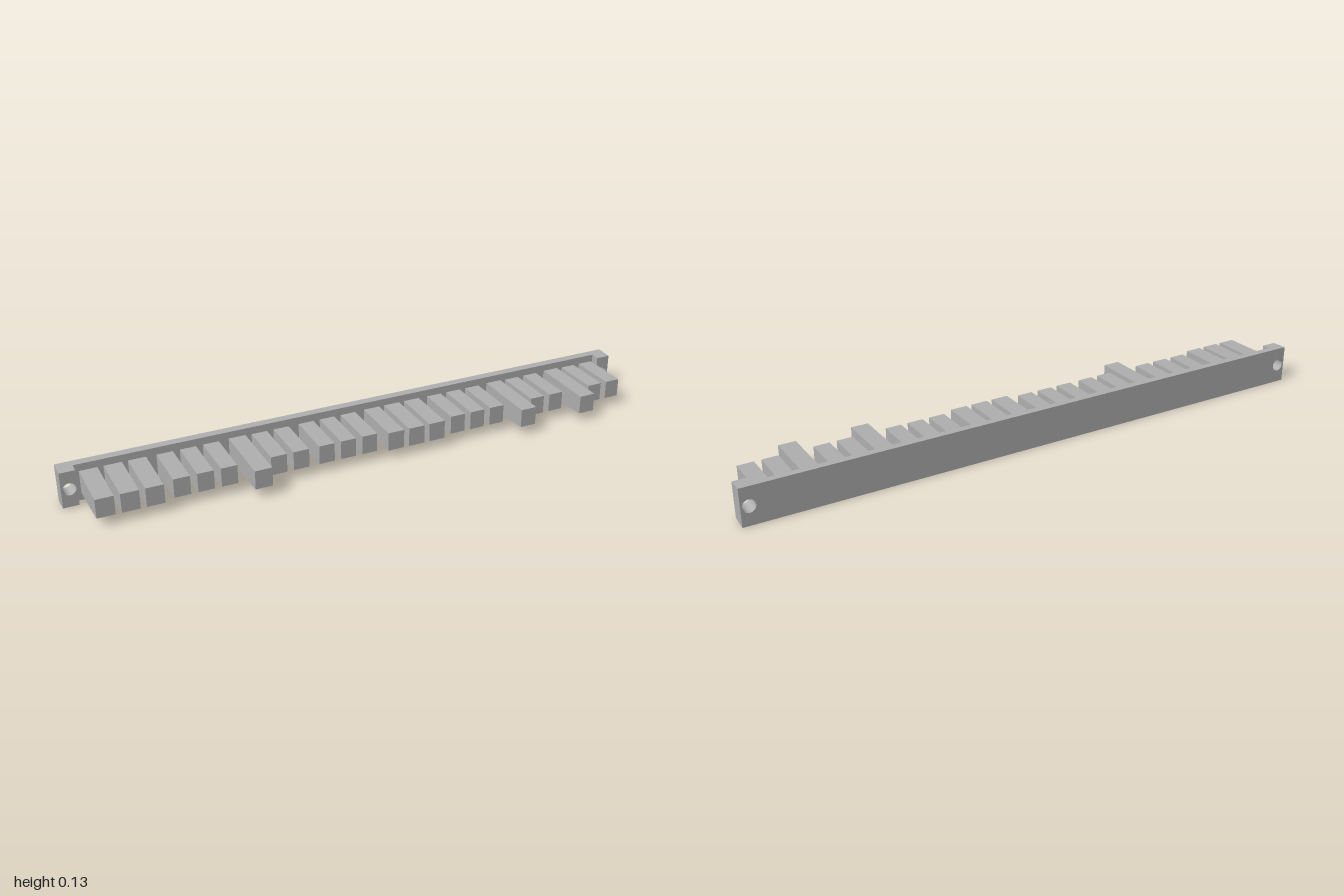
import * as THREE from 'three';

const MID_Y = 0.0635;
const BACK = -0.127, PLATE_FRONT = -0.1, FLANGE_FRONT = -0.07;
const HOLE_X = 0.974, HOLE_R = 0.021;

// Half height shrinks linearly from the back towards the front.
function draft(geometry, atBack, atFront, zBack, zFront) {
  const p = geometry.attributes.position;
  for (let i = 0; i < p.count; i++) {
    const t = (p.getZ(i) - zBack) / (zFront - zBack);
    p.setY(i, MID_Y + p.getY(i) * (atBack + (atFront - atBack) * t));
  }
  geometry.computeVertexNormals();
  return geometry;
}

// Slab from x0 to x1 with round screw holes; y runs from -1 to 1 before drafting.
function slab(x0, x1, z0, z1, holes) {
  const shape = new THREE.Shape([[x0, -1], [x1, -1], [x1, 1], [x0, 1]]
    .map(([x, y]) => new THREE.Vector2(x, y)));
  for (const x of holes) {
    const hole = new THREE.Path();
    hole.absellipse(x, 0, HOLE_R, HOLE_R / 0.0615, 0, Math.PI * 2, true);
    shape.holes.push(hole);
  }
  const g = new THREE.ExtrudeGeometry(shape, { depth: z1 - z0, bevelEnabled: false, curveSegments: 24 });
  return draft(g.translate(0, 0, z0), 0.0635, 0.0595, BACK, FLANGE_FRONT);
}

export function createModel() {
  const model = new THREE.Group();
  model.name = 'toothedBar';
  const grey = new THREE.MeshStandardMaterial({ color: 0xb0b0b0 });
  grey.name = 'grey';
  const add = (name, geometry) => {
    const mesh = new THREE.Mesh(geometry, grey);
    mesh.name = name;
    model.add(mesh);
  };

  // Long back plate and the thicker mounting ends
  add('backPlate', slab(-1, 1, BACK, PLATE_FRONT, [-HOLE_X, HOLE_X]));
  add('rightMount', slab(-1, -0.95, PLATE_FRONT, FLANGE_FRONT, [-HOLE_X]));
  add('leftMount', slab(0.95, 1, PLATE_FRONT, FLANGE_FRONT, [HOLE_X]));

  // Eight groups of three teeth: s = short, m = medium, l = long
  const kinds = {
    s: { tip: 0.065, width: 0.053, base: 0.037 },
    m: { tip: 0.081, width: 0.057, base: 0.038 },
    l: { tip: 0.127, width: 0.057, base: 0.039 },
  };
  ['mmm', 'sss', 'lss', 'sss', 'mmm', 'sss', 'lss', 'lss'].forEach((group, g) => {
    [...group].forEach((key, i) => {
      const { tip, width, base } = kinds[key];
      const length = tip - PLATE_FRONT;
      const geometry = new THREE.BoxGeometry(width, 2, length);
      geometry.translate(-0.906 + g * 0.239 + i * 0.0755, 0, PLATE_FRONT + length / 2);
      add('tooth' + (g * 3 + i + 1), draft(geometry, base, 0.0313, PLATE_FRONT, tip));
    });
  });
  return model;
}
